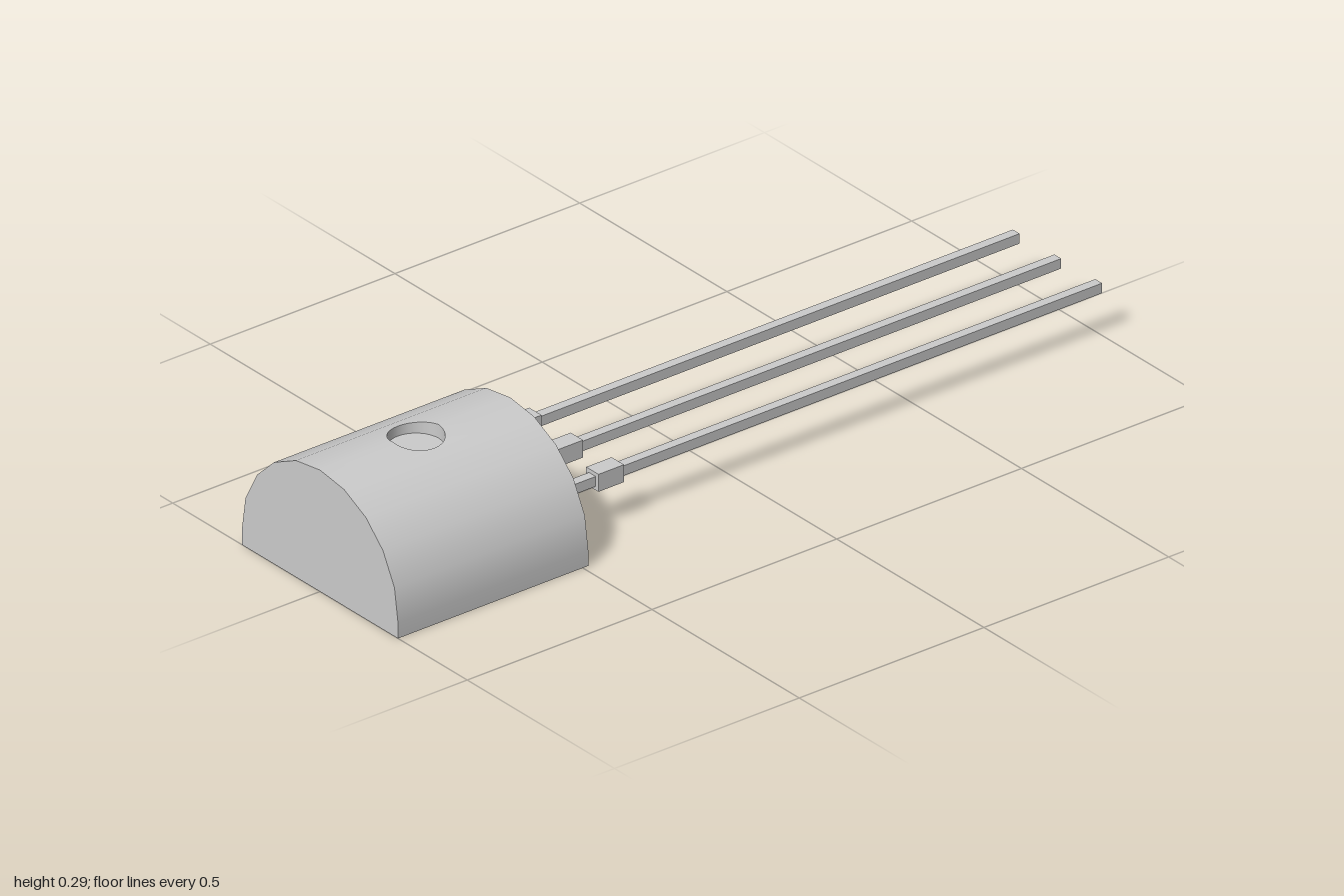
import * as THREE from 'three';

const BACK = 0.485, FRONT = 1, HOLE_Z = 0.74, HOLE_R = 0.062, HOLE_FLOOR = 0.26;

// Half of the domed cross-section, from the crown down to the base
const PROFILE = [[0, 0.293], [0.082, 0.281], [0.156, 0.245], [0.214, 0.19],
  [0.253, 0.117], [0.265, 0.037], [0.265, 0]];
const ARC_Y = 0.025;

export function createModel() {
  const model = new THREE.Group();
  const material = new THREE.MeshStandardMaterial({ color: 0xcccccc });
  const add = (parent, name, geometry, mat = material) => {
    const mesh = new THREE.Mesh(geometry, mat);
    mesh.name = name;
    parent.add(mesh);
    return mesh;
  };

  // One long facet of the dome, smooth shaded; the crown facets are notched for the dimple
  const facet = (i, side) => {
    const [x0, y0] = PROFILE[i], [x1, y1] = PROFILE[i + 1];
    const shape = new THREE.Shape();
    shape.moveTo(0, -FRONT).lineTo(1, -FRONT).lineTo(1, -BACK).lineTo(0, -BACK);
    if (i === 0) {
      for (let k = 0; k <= 16; k++) {
        const a = Math.PI / 2 - k * Math.PI / 16;
        shape.lineTo(Math.max(0, HOLE_R * Math.cos(a)) / x1, -HOLE_Z + HOLE_R * Math.sin(a));
      }
    }
    const g = new THREE.ShapeGeometry(shape);
    const p = g.attributes.position, n = g.attributes.normal, v = new THREE.Vector3();
    for (let k = 0; k < p.count; k++) {
      const s = p.getX(k), z = -p.getY(k);
      const x = side * (x0 + (x1 - x0) * s), y = y0 + (y1 - y0) * s;
      p.setXYZ(k, x, y, z);
      v.set(x, Math.max(0, y - ARC_Y), 0).normalize();
      n.setXYZ(k, v.x, v.y, v.z);
    }
    if (side < 0) g.index.array.reverse();
    return g;
  };

  // Half-round body
  const body = new THREE.Group();
  body.name = 'body';
  model.add(body);
  for (let i = 0; i < PROFILE.length - 1; i++) {
    for (const side of [1, -1]) add(body, 'domeFacet', facet(i, side));
  }

  // Flat ends and base
  const outline = [
    ...PROFILE.map(([x, y]) => new THREE.Vector2(-x, y)),
    ...PROFILE.slice(1).reverse().map(([x, y]) => new THREE.Vector2(x, y)),
  ];
  const end = new THREE.ShapeGeometry(new THREE.Shape(outline));
  add(body, 'frontEnd', end).position.z = FRONT;
  const backEnd = add(body, 'backEnd', end);
  backEnd.position.z = BACK;
  backEnd.rotation.y = Math.PI;
  const base = new THREE.PlaneGeometry(0.53, FRONT - BACK).rotateX(Math.PI / 2);
  add(body, 'base', base).position.z = (FRONT + BACK) / 2;

  // Round dimple: wall trimmed to the dome, with a flat floor
  const wall = new THREE.CylinderGeometry(HOLE_R, HOLE_R, 1, 32, 1, true);
  const wp = wall.attributes.position;
  const slope = (PROFILE[1][1] - PROFILE[0][1]) / PROFILE[1][0];
  for (let k = 0; k < wp.count; k++) {
    wp.setY(k, wp.getY(k) > 0 ? PROFILE[0][1] + slope * Math.abs(wp.getX(k)) : HOLE_FLOOR);
  }
  const inside = material.clone();
  inside.side = THREE.BackSide;
  add(body, 'dimpleWall', wall, inside).position.z = HOLE_Z;
  const floor = new THREE.CircleGeometry(HOLE_R, 32).rotateX(-Math.PI / 2);
  add(body, 'dimpleFloor', floor).position.set(0, HOLE_FLOOR, HOLE_Z);

  // Three square leads, each with a wider collar
  const leadLength = BACK + 1;
  for (const x of [-0.145, -0.004, 0.135]) {
    const lead = new THREE.Group();
    lead.name = 'lead';
    lead.position.set(x, 0.114, 0);
    add(lead, 'leadWire', new THREE.BoxGeometry(0.023, 0.024, leadLength)).position.z = -1 + leadLength / 2;
    add(lead, 'leadCollar', new THREE.BoxGeometry(0.042, 0.042, 0.069)).position.z = 0.336;
    model.add(lead);
  }
  return model;
}
